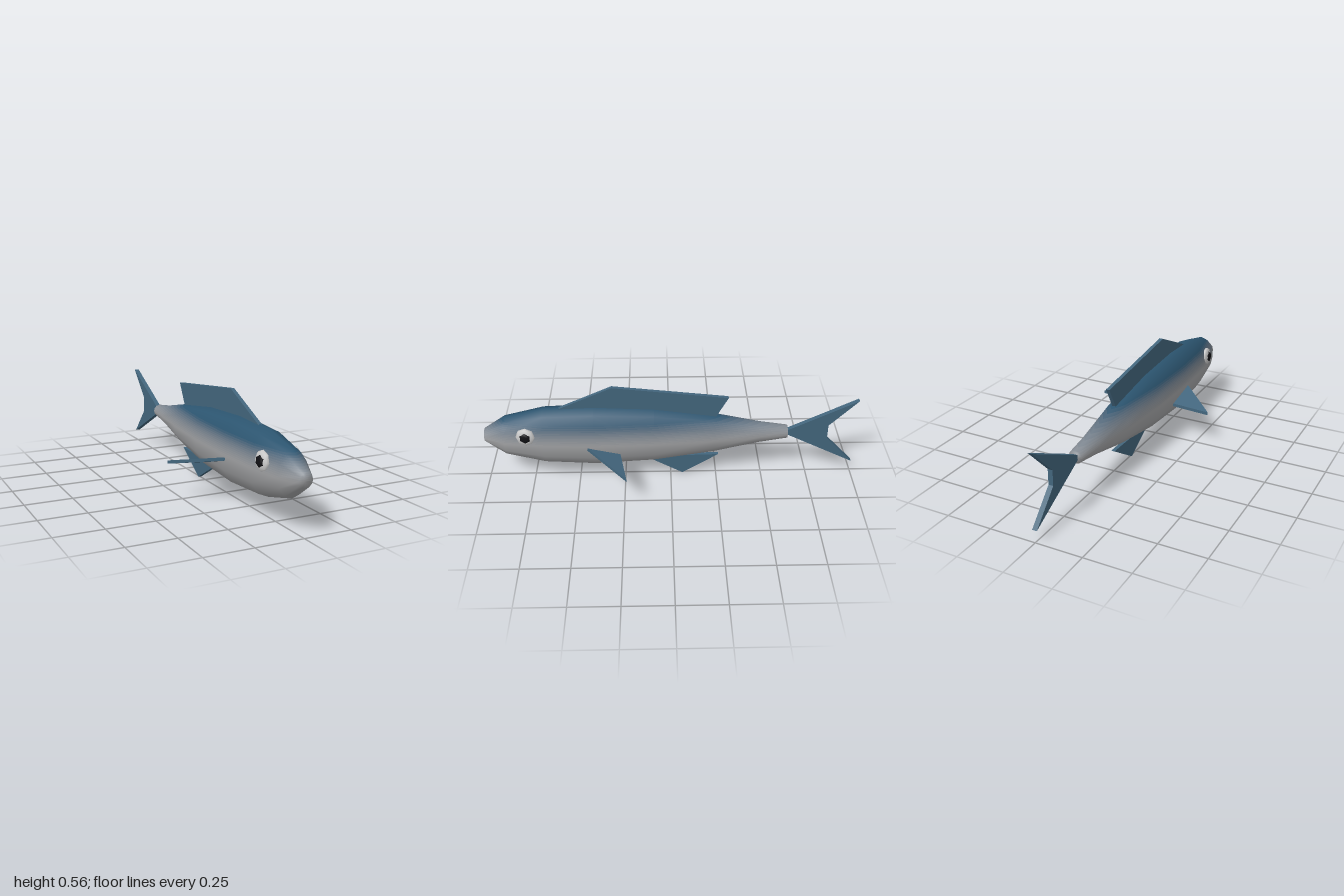
import * as THREE from 'three';

const SIDES = 12;
// Body stations from nose to tail root: [z, top y, bottom y, half width]; the ends close to a point
const STATIONS = [
  [1, 0.2685, 0.2685, 0],
  [1, 0.305, 0.232, 0.036], [0.89, 0.38, 0.153, 0.08], [0.68, 0.432, 0.1, 0.107],
  [0.41, 0.443, 0.084, 0.115], [0.09, 0.427, 0.103, 0.106], [-0.23, 0.38, 0.152, 0.08],
  [-0.48, 0.325, 0.207, 0.05], [-0.63, 0.302, 0.231, 0.037],
  [-0.63, 0.2665, 0.2665, 0],
];
// Body colour fades from belly to back between these heights
const FADE_LOW = 0.26, FADE_HIGH = 0.37, FADE_STEPS = 12;
const BELLY = new THREE.Color(0xa3a4a6), BACK = new THREE.Color(0x2c5570);

const material = (color, flatShading = false) => new THREE.MeshStandardMaterial({ color, flatShading });

function addMesh(parent, name, geometry, mat) {
  const mesh = new THREE.Mesh(geometry, mat);
  mesh.name = name;
  parent.add(mesh);
  return mesh;
}

// Smooth 12-sided loft through the stations
function bodyLoft() {
  const positions = [], index = [];
  STATIONS.forEach(([z, top, bottom, halfWidth], s) => {
    for (let k = 0; k < SIDES; k++) {
      const angle = (k / SIDES) * Math.PI * 2;
      positions.push(Math.sin(angle) * halfWidth, (top + bottom) / 2 + Math.cos(angle) * (top - bottom) / 2, z);
      if (s === STATIONS.length - 1) continue;
      const a = s * SIDES + k, b = s * SIDES + (k + 1) % SIDES;
      const c = a + SIDES, d = b + SIDES;
      if (s > 0) index.push(a, b, c);
      if (s < STATIONS.length - 2) index.push(b, d, c);
    }
  });
  // The triangles left out above have no area at the closed ends
  const geometry = new THREE.BufferGeometry();
  geometry.setAttribute('position', new THREE.Float32BufferAttribute(positions, 3));
  geometry.setIndex(index);
  return geometry;
}

// Keeps the part of a polygon where sign * (y - level) >= 0; corners are [x, y, z, nx, ny, nz]
function clip(polygon, level, sign) {
  const kept = [];
  polygon.forEach((a, i) => {
    const b = polygon[(i + 1) % polygon.length];
    const da = sign * (a[1] - level), db = sign * (b[1] - level);
    if (da >= 0) kept.push(a);
    if (da * db < 0) kept.push(a.map((v, j) => v + (b[j] - v) * da / (da - db)));
  });
  return kept;
}

// The part of a surface between two heights, with its smooth normals
function slice(source, low, high) {
  const { position, normal } = source.attributes;
  const index = source.index.array;
  const corner = i => [position.getX(i), position.getY(i), position.getZ(i),
    normal.getX(i), normal.getY(i), normal.getZ(i)];
  const positions = [], normals = [];
  for (let i = 0; i < index.length; i += 3) {
    const triangle = [corner(index[i]), corner(index[i + 1]), corner(index[i + 2])];
    const polygon = clip(clip(triangle, low, 1), high, -1);
    for (let j = 2; j < polygon.length; j++) {
      for (const v of [polygon[0], polygon[j - 1], polygon[j]]) {
        positions.push(v[0], v[1], v[2]);
        normals.push(v[3], v[4], v[5]);
      }
    }
  }
  const geometry = new THREE.BufferGeometry();
  geometry.setAttribute('position', new THREE.Float32BufferAttribute(positions, 3));
  geometry.setAttribute('normal', new THREE.Float32BufferAttribute(normals, 3));
  return geometry;
}

// Body in horizontal colour bands from belly to back
function createBody() {
  const body = new THREE.Group();
  body.name = 'body';
  const loft = bodyLoft();
  loft.computeVertexNormals();
  const height = i => FADE_LOW + (FADE_HIGH - FADE_LOW) * i / FADE_STEPS;
  addMesh(body, 'belly', slice(loft, 0, FADE_LOW), material(BELLY));
  for (let i = 0; i < FADE_STEPS; i++) {
    const color = BELLY.clone().lerp(BACK, (i + 0.5) / FADE_STEPS);
    addMesh(body, 'flank' + (i + 1), slice(loft, height(i), height(i + 1)), material(color));
  }
  addMesh(body, 'back', slice(loft, FADE_HIGH, 1), material(BACK));
  return body;
}

// Flat plate from an outline, centred on its thickness
function plate(points, thickness) {
  const shape = new THREE.Shape(points.map(([x, y]) => new THREE.Vector2(x, y)));
  const geometry = new THREE.ExtrudeGeometry(shape, { depth: thickness, bevelEnabled: false });
  return geometry.translate(0, 0, -thickness / 2);
}

// Upright fin on the centre plane, outline given as [z, y]
const uprightFin = (points, thickness) => plate(points, thickness).rotateY(-Math.PI / 2);

// Side fin, outline given as [x, z], tilted so the leading edge is higher
function pectoralFin(side) {
  const outline = [[0.09, 0.465], [0.325, 0.235], [0.09, 0.273]];
  const geometry = plate(outline.map(([x, z]) => [side * x, -z]), 0.017).rotateX(-Math.PI / 2);
  const p = geometry.attributes.position;
  for (let i = 0; i < p.count; i++) {
    p.setY(i, p.getY(i) + 0.104 + 0.084 * Math.abs(p.getX(i)) + 0.286 * p.getZ(i));
  }
  geometry.computeVertexNormals();
  return geometry;
}

// Flattened ball whose poles point sideways
function eyeDisc(radius, halfDepth, sides) {
  return new THREE.SphereGeometry(1, sides, 6)
    .rotateZ(-Math.PI / 2)
    .scale(halfDepth, radius, radius);
}

export function createModel() {
  const fish = new THREE.Group();
  fish.name = 'fish';
  fish.add(createBody());

  // Fins
  const finMaterial = material(0x43667d, true);
  addMesh(fish, 'dorsalFin', uprightFin(
    [[0.6, 0.43], [0.31, 0.56], [-0.305, 0.49], [-0.24, 0.37]], 0.02), finMaterial);
  addMesh(fish, 'analFin', uprightFin(
    [[0.14, 0.115], [-0.065, 0], [-0.26, 0.123]], 0.02), finMaterial);
  addMesh(fish, 'tailFin', uprightFin(
    [[-0.62, 0.275], [-1, 0.463], [-0.85, 0.308], [-0.85, 0.225], [-1, 0.067], [-0.62, 0.258]], 0.026), finMaterial);

  // Paired fins and eyes
  const white = material(0xe8e8e8);
  const black = material(0x101014);
  for (const [side, label] of [[1, 'left'], [-1, 'right']]) {
    addMesh(fish, label + 'PectoralFin', pectoralFin(side), finMaterial);

    const eye = new THREE.Group();
    eye.name = label + 'Eye';
    eye.position.set(side * 0.087, 0.309, 0.77);
    eye.rotation.set(0, -side * 0.08, side * 0.06);
    addMesh(eye, 'eyeball', eyeDisc(0.053, 0.02, 8), white);
    addMesh(eye, 'pupil', eyeDisc(0.031, 0.011, 6), black).position.x = side * 0.015;
    fish.add(eye);
  }
  return fish;
}
